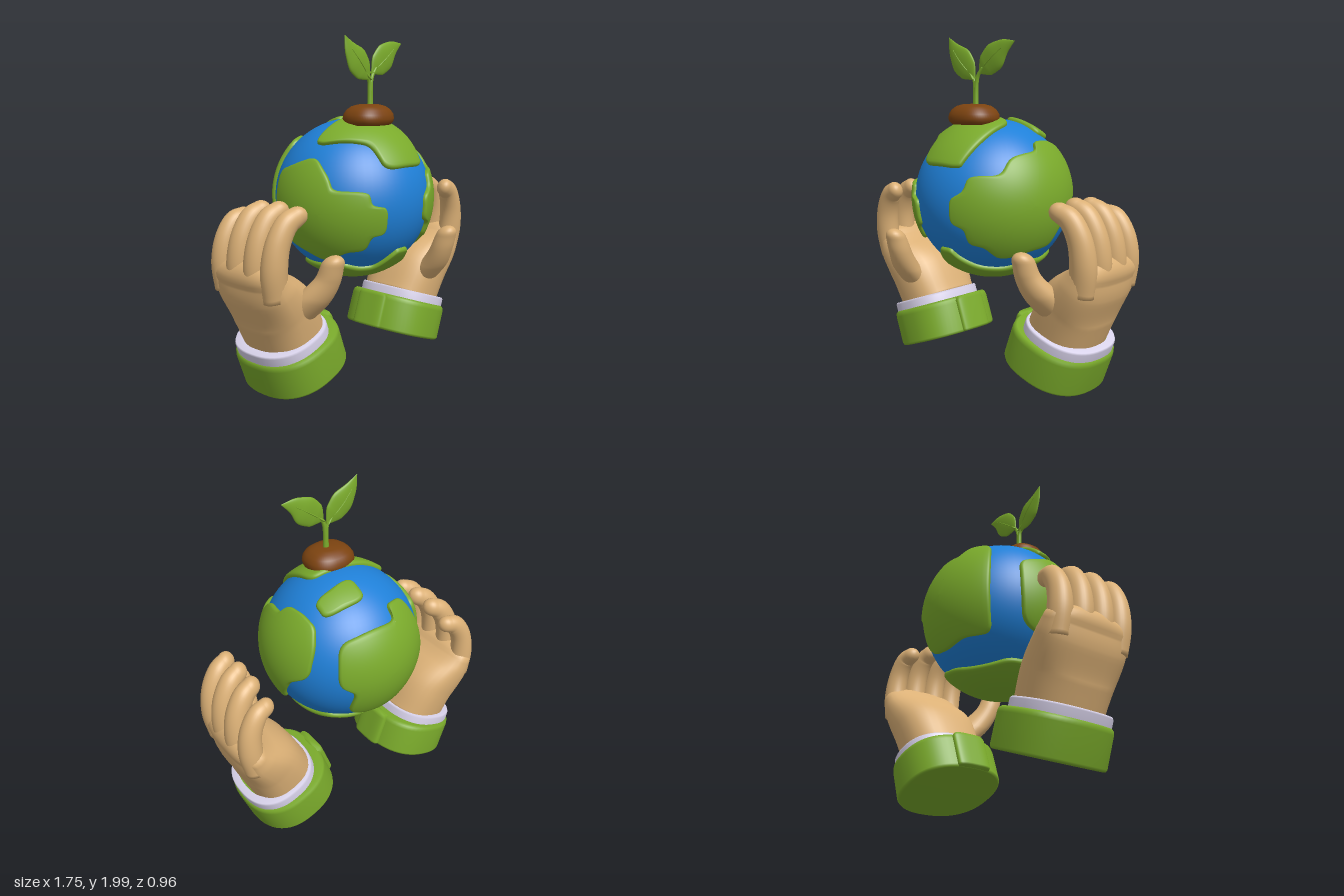
import * as THREE from 'three';

const V = (x, y, z) => new THREE.Vector3(x, y, z);
const paint = (color) => new THREE.MeshStandardMaterial({ color });
const GREEN = paint(0x7aaa2b), BLUE = paint(0x1f80d8), SKIN = paint(0xdbb076);
const WHITE = paint(0xd8d2ea), SOIL = paint(0x7c4310);

function add(parent, name, geometry, material) {
  const mesh = new THREE.Mesh(geometry, material);
  mesh.name = name;
  parent.add(mesh);
}

// Skin over closed rings of equal point count
function loft(rings) {
  const n = rings[0].length, index = [];
  for (let i = 0; i < rings.length - 1; i++) {
    for (let j = 0; j < n; j++) {
      const k = (j + 1) % n, a = i * n + j, b = i * n + k;
      index.push(a, b, a + n, b, b + n, a + n);
    }
  }
  const geo = new THREE.BufferGeometry().setFromPoints(rings.flat());
  geo.setIndex(index);
  geo.computeVertexNormals();
  return geo;
}

// Superellipse ring: hu across the xy direction of travel, hw along z
function ring(c, dir, hu, hw, power = 2, n = 32) {
  const len = Math.hypot(dir.x, dir.y) || 1, ux = dir.y / len, uy = -dir.x / len;
  const bend = (v) => Math.sign(v) * Math.abs(v) ** (2 / power);
  return Array.from({ length: n }, (_, j) => {
    const t = (j / n) * Math.PI * 2, u = bend(Math.cos(t)) * hu;
    return V(c.x + ux * u, c.y + uy * u, c.z - bend(Math.sin(t)) * hw);
  });
}

// Tapered limb along a path with a rounded end; sizes are [hu, hw] per path point
function limb(path, sizes, power = 2, steps = 24, round = true) {
  const curve = new THREE.CatmullRomCurve3(path.map((p) => V(...p)));
  const size = new THREE.CatmullRomCurve3(sizes.map(([a, b = a]) => V(a, b, 0)));
  const rings = [];
  for (let i = 0; i <= steps; i++) {
    const t = i / steps, s = size.getPoint(t), d = curve.getTangent(t);
    if (i === 0) rings.push(ring(curve.getPoint(0), d, 0, 0, power));
    rings.push(ring(curve.getPoint(t), d, Math.max(s.x, 0.001), Math.max(s.y, 0.001), power));
  }
  if (round) {
    const end = curve.getPoint(1), d = curve.getTangent(1), s = size.getPoint(1);
    for (let i = 1; i <= 7; i++) {
      const a = (i / 7) * Math.PI / 2, c = Math.cos(a);
      rings.push(ring(end.clone().addScaledVector(d, s.x * Math.sin(a)), d, s.x * c, s.y * c, power));
    }
  }
  return loft(rings);
}

// Straight turned part: profile of [distance along axis, scale]
function turned(base, axis, hu, hw, profile, power = 2) {
  return loft(profile.map(([t, s]) =>
    ring(base.clone().addScaledVector(axis, t), axis, hu * s, hw * s, power, 56)));
}

function mirrored(geo) {
  const g = geo.clone().scale(-1, 1, 1), idx = g.index.array;
  for (let i = 0; i < idx.length; i += 3) [idx[i], idx[i + 1]] = [idx[i + 1], idx[i]];
  g.computeVertexNormals();
  return g;
}

// Unit direction from longitude (0 = front, 90 = +x) and latitude
function direction([lon, lat]) {
  const a = THREE.MathUtils.degToRad(lon), b = THREE.MathUtils.degToRad(lat);
  return V(Math.sin(a) * Math.cos(b), Math.sin(b), Math.cos(a) * Math.cos(b));
}

// Raised land patch with rounded corners and a rounded rim
function land(center, outline) {
  const c = direction(center), pts = outline.map(direction), n = pts.length, edge = [];
  pts.forEach((p, i) => {
    const a = p.clone().lerp(pts[(i + n - 1) % n], 0.3), b = p.clone().lerp(pts[(i + 1) % n], 0.3);
    const corner = new THREE.QuadraticBezierCurve3(a, p, b);
    edge.push(...corner.getPoints(6));
    for (const t of [0.25, 0.5, 0.75]) edge.push(b.clone().lerp(pts[(i + 1) % n].clone().lerp(p, 0.3), t));
  });
  edge.forEach((p) => p.normalize());
  const turn = edge.reduce((s, p, i) => s + p.clone().cross(edge[(i + 1) % edge.length]).dot(c), 0);
  if (turn < 0) edge.reverse();
  const rings = [];
  const level = (scale, inset, r) => rings.push(edge.map((p) => {
    const s = scale * Math.max(0, 1 - inset / p.angleTo(c));
    return c.clone().lerp(p, s).normalize().multiplyScalar(r);
  }));
  [[0, 0.45], [0, 0.468], [0.008, 0.476], [0.022, 0.482], [0.045, 0.485]]
    .forEach(([inset, r]) => level(1, inset, r));
  for (let i = 11; i >= 0; i--) level(i / 12, 0.045, 0.485);
  return loft(rings);
}

const LANDS = {
  leftLand: [[72, 0], [[12, 4], [22, 10], [25, 20], [48, 21], [57, 34], [82, 38], [87, 46], [107, 46], [123, 40],
    [126, 25], [123, 4], [108, -5], [99, -20], [94, -32], [75, -35], [48, -41], [36, -30], [24, -27], [22, -16], [12, -12]]],
  rightLand: [[-72, -4], [[-24, 0], [-35, 2], [-37, 11], [-62, 12], [-66, 21], [-80, 35], [-100, 28], [-115, 22],
    [-115, 0], [-113, -24], [-90, -35], [-73, -43], [-53, -33], [-38, -31], [-34, -20], [-24, -18]]],
  backLand: [[184, 2], [[143, 30], [170, 37], [196, 36], [199, 48], [222, 44], [224, 20], [224, -10], [224, -33],
    [200, -33], [178, -37], [158, -34], [151, -28], [155, -8], [143, 0]]],
  topLand: [[-10, 55], [[17, 25], [22, 34], [33, 48], [78, 68], [0, 89], [-87, 69], [-88, 46], [-78, 45],
    [-53, 48], [-32, 45], [-23, 25]]],
  smallLand: [[140, 63], [[180, 58], [180, 78], [112, 55], [130, 46]]],
  bottomLand: [[60, -88], [[-58, -47], [-40, -53], [-24, -52], [-12, -39], [-7, -34], [5, -34], [10, -41], [28, -52],
    [60, -54], [80, -45], [105, -48], [135, -42], [170, -50], [206, -55], [240, -50], [270, -50]]],
};

// Parts of the +x hand, as [name, geometry, material]
function handParts() {
  const axis = V(0.342, 0.94, 0), across = V(0.94, -0.342, 0), base = V(0.435, 0.105, -0.05);
  const parts = [];
  parts.push(['cuff', turned(base.clone().addScaledVector(across, 0.008), axis, 0.277, 0.297,
    [[0, 0], [0, 0.95], [0.004, 0.98], [0.016, 1], [0.19, 1], [0.212, 0.985], [0.224, 0.94], [0.225, 0.6]], 2.4), GREEN]);
  parts.push(['cuffTab', turned(base.clone().addScaledVector(across, -0.255), axis, 0.035, 0.11,
    [[0.002, 0], [0.002, 0.92], [0.015, 1], [0.2, 1], [0.222, 0.9], [0.226, 0]], 3.5), GREEN]);
  parts.push(['shirtBand', turned(base.clone().addScaledVector(across, 0.035), axis, 0.236, 0.27,
    [[0.15, 0.95], [0.16, 1], [0.268, 1], [0.279, 0.975], [0.28, 0.8]], 2.4), WHITE]);
  parts.push(['palm', limb([[0.53, 0.33, -0.05], [0.62, 0.51, -0.05], [0.725, 0.64, -0.052], [0.775, 0.72, -0.055]],
    [[0.2, 0.235], [0.19, 0.26], [0.142, 0.28], [0.1, 0.275]], 2.5), SKIN]);
  parts.push(['thumb', limb([[0.6, 0.46, 0.08], [0.56, 0.58, 0.2], [0.525, 0.7, 0.285], [0.52, 0.79, 0.32]],
    [[0.1], [0.095], [0.073], [0.063]]), SKIN]);
  // Four curled fingers: z at knuckle, z at tip, drop of the tip, thickness
  [[0.145, 0.2, 0.01, 1], [0.015, 0.06, 0, 1.02], [-0.125, -0.08, 0.01, 1], [-0.26, -0.225, 0.06, 0.93]]
    .forEach(([z0, z1, drop, k], i) => {
      const path = [[0.765, 0.62], [0.792, 0.78], [0.775, 0.93], [0.72, 1.035], [0.665, 1.07]].map(([x, y], j) =>
        [x, y - drop * (j / 4), z0 + (z1 - z0) * (j / 4)]);
      parts.push(['finger' + (i + 1), limb(path, [0.078, 0.076, 0.07, 0.064, 0.056].map((r, j) =>
        [r * k, (j ? r : 0.07) * k * 0.92])), SKIN]);
    });
  return parts;
}

export function createModel() {
  const model = new THREE.Group();

  // Globe with raised land
  const globe = new THREE.Group();
  globe.name = 'globe';
  globe.position.y = 1.068;
  add(globe, 'ocean', new THREE.SphereGeometry(0.462, 64, 48), BLUE);
  for (const [name, [center, outline]] of Object.entries(LANDS)) add(globe, name, land(center, outline), GREEN);
  model.add(globe);

  // Soil mound and sprout
  const sprout = new THREE.Group();
  sprout.name = 'sprout';
  add(sprout, 'soil', turned(V(-0.02, 1.5, 0.138), V(0, 1, 0), 0.15, 0.132,
    [[0, 0], [0, 0.85], [0.015, 0.96], [0.035, 1], [0.06, 0.97], [0.085, 0.86], [0.105, 0.67], [0.115, 0.42], [0.118, 0]], 2.4), SOIL);
  const z = 0.138;
  add(sprout, 'leftStem', limb([[-0.003, 1.58, z], [-0.002, 1.7, z], [0.01, 1.77, z], [0.045, 1.82, z]],
    [[0.016], [0.013], [0.011], [0.008]]), GREEN);
  add(sprout, 'rightStem', limb([[-0.008, 1.58, z], [-0.009, 1.69, z], [-0.016, 1.75, z], [-0.045, 1.79, z]],
    [[0.016], [0.013], [0.011], [0.008]]), GREEN);
  const leaf = (name, path, width) => {
    add(sprout, name, limb(path, [[0.004], [width * 0.85, 0.016], [width, 0.02], [width * 0.6, 0.014], [0.001]],
      2, 28, false), GREEN);
    add(sprout, name + 'Rib', limb(path.slice(0, 4).map(([x, y, d]) => [x, y, d]),
      [[0.006, 0.02], [0.006, 0.02], [0.005, 0.023], [0.003, 0.016]], 2, 16), GREEN);
  };
  leaf('leftLeaf', [[0.015, 1.79, z - 0.008], [0.07, 1.835, z - 0.008], [0.13, 1.88, z - 0.008],
    [0.2, 1.93, z - 0.008], [0.285, 1.963, z - 0.008]], 0.082);
  leaf('rightLeaf', [[-0.012, 1.755, z], [-0.065, 1.81, z], [-0.115, 1.86, z],
    [-0.175, 1.925, z], [-0.222, 2.0, z]], 0.082);
  model.add(sprout);

  // Pair of cupped hands
  const left = new THREE.Group(), right = new THREE.Group();
  left.name = 'leftHand';
  right.name = 'rightHand';
  for (const [name, geo, mat] of handParts()) {
    add(left, name, geo, mat);
    add(right, name, mirrored(geo), mat);
  }
  model.add(left, right);
  return model;
}
